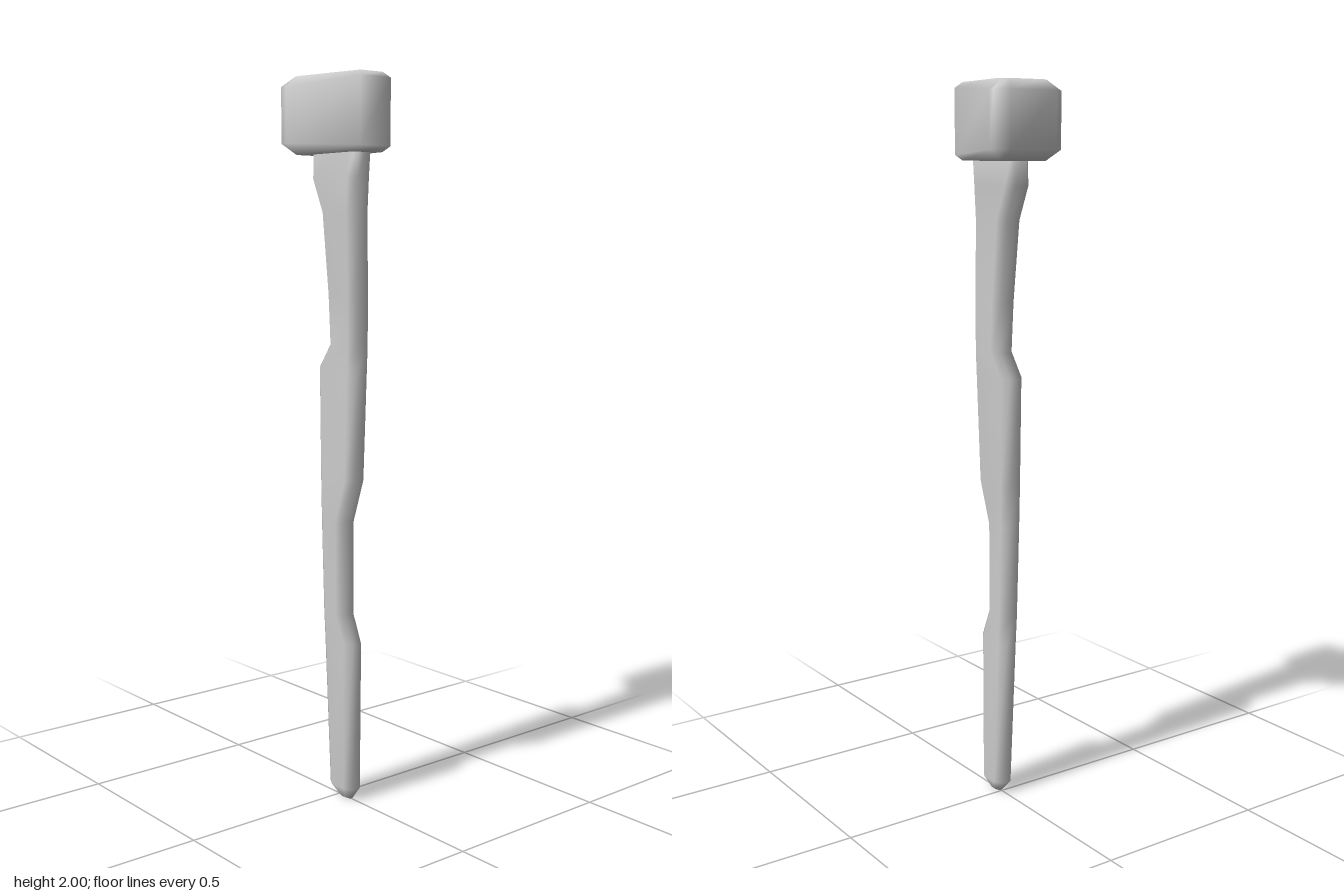
import * as THREE from 'three';

const material = new THREE.MeshStandardMaterial({ color: 0xcccccc });

// Skins a stack of equal-length rings (bottom to top, counter-clockwise from above) and caps both ends
function loft(name, rings) {
  const n = rings[0].length;
  const points = rings.flat();
  const index = [];
  for (let r = 0; r < rings.length - 1; r++) {
    for (let i = 0; i < n; i++) {
      const a = r * n + i, b = r * n + (i + 1) % n;
      index.push(a, b, b + n, a, b + n, a + n);
    }
  }
  const last = (rings.length - 1) * n;
  for (let i = 1; i < n - 1; i++) {
    index.push(0, i + 1, i);
    index.push(last, last + i, last + i + 1);
  }
  const geometry = new THREE.BufferGeometry();
  geometry.setAttribute('position', new THREE.Float32BufferAttribute(points.flat(), 3));
  geometry.setIndex(index);
  geometry.computeVertexNormals();
  const mesh = new THREE.Mesh(geometry, material);
  mesh.name = name;
  return mesh;
}

// Bevelled eight-sided section of the shaft
function shaftRing([y, x0, x1, back, front]) {
  const cx = (x0 + x1) / 2, w = (x1 - x0) / 2;
  const bevel = Math.min(0.022, (front - back) * 0.3);
  const f = w * 0.5;
  return [
    [cx - f, y, front], [cx + f, y, front],
    [cx + w, y, front - bevel], [cx + w, y, back + bevel],
    [cx + f, y, back], [cx - f, y, back],
    [cx - w, y, back + bevel], [cx - w, y, front - bevel],
  ];
}

export function createModel() {
  const group = new THREE.Group();
  group.name = 'spike';

  // Shaft: height, x from, x to, back z, front z, with chipped edges front and back
  group.add(loft('shaft', [
    [0, -0.008, 0.01, 0.005, 0.05],
    [0.035, -0.028, 0.028, -0.024, 0.072],
    [0.46, -0.038, 0.022, -0.036, 0.084],
    [0.54, -0.04, 0.021, -0.039, 0.052],
    [0.8, -0.041, 0.022, -0.048, 0.052],
    [0.92, -0.04, 0.025, -0.053, 0.09],
    [1.22, -0.035, 0.034, -0.065, 0.094],
    [1.285, -0.034, 0.036, -0.02, 0.095],
    [1.42, -0.036, 0.035, -0.026, 0.097],
    [1.64, -0.045, 0.03, -0.04, 0.101],
    [1.73, -0.042, 0.034, -0.084, 0.102],
    [1.85, -0.038, 0.04, -0.086, 0.104],
  ].map(shaftRing)));

  // Head: wedge plan, wide at the back, with the inset plan used for top and bottom
  const plan = [
    [-0.05, 0.142], [0.055, 0.142], [0.107, -0.097], [0.107, -0.117],
    [0.072, -0.144], [-0.072, -0.144], [-0.107, -0.117], [-0.107, -0.097],
  ];
  const inset = [
    [-0.036, 0.127], [0.04, 0.127], [0.074, -0.085], [0.072, -0.098],
    [0.055, -0.11], [-0.055, -0.11], [-0.072, -0.098], [-0.074, -0.085],
  ];
  const headRing = (outline, y, bend = 0) =>
    outline.map(([x, z], i) => [x, y + (i > 1 ? bend : 0), z]);
  group.add(loft('head', [
    headRing(inset, 1.795),
    headRing(plan, 1.81, 0.013),
    headRing(plan, 1.985, -0.013),
    headRing(inset, 2),
  ]));

  return group;
}
